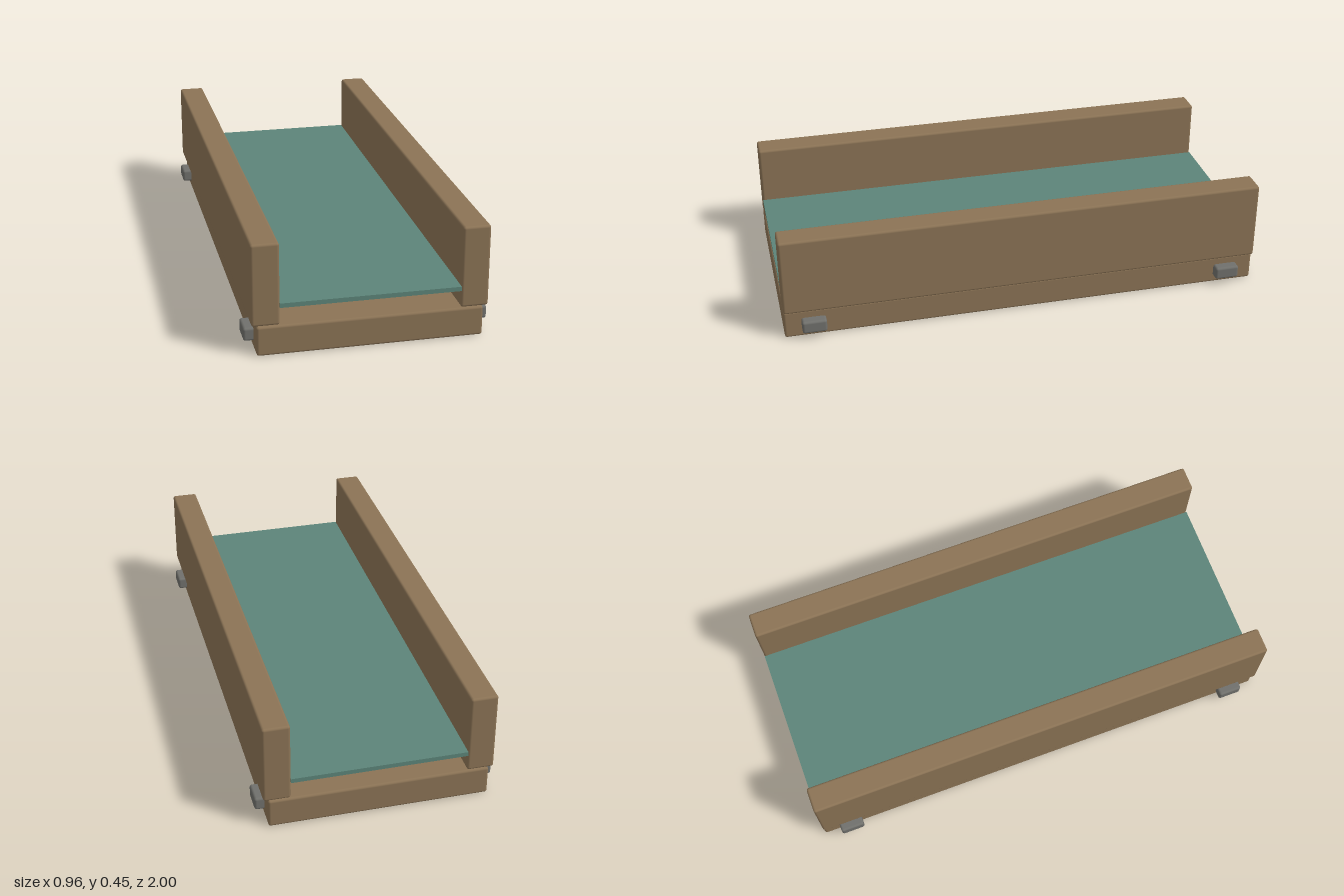
import * as THREE from 'three';
import { RoundedBoxGeometry } from 'three/addons/geometries/RoundedBoxGeometry.js';

export function createModel() {
  const model = new THREE.Group();
  model.name = 'trayBed';

  const wood = new THREE.MeshStandardMaterial({ color: 0x8b7355 });
  const green = new THREE.MeshStandardMaterial({ color: 0x5c8479 });
  const grey = new THREE.MeshStandardMaterial({ color: 0x70706c });

  // Adds a box given its size and centre; a radius rounds its edges
  function addBox(name, material, [w, h, d], [x, y, z], radius = 0) {
    const geometry = radius
      ? new RoundedBoxGeometry(w, h, d, 3, radius)
      : new THREE.BoxGeometry(w, h, d);
    const mesh = new THREE.Mesh(geometry, material);
    mesh.name = name;
    mesh.position.set(x, y, z);
    model.add(mesh);
  }

  // Base slab and the thin panel held between the rails
  addBox('base', wood, [0.878, 0.12, 2], [0, 0.06, 0], 0.01);
  addBox('panel', green, [0.7, 0.018, 2], [0, 0.201, 0]);

  for (const [side, s] of [['left', 1], ['right', -1]]) {
    // Tall side rail
    addBox(`${side}Rail`, wood, [0.108, 0.329, 2], [s * 0.404, 0.287, 0], 0.01);

    // Lugs sticking out of the base near each end
    for (const [end, e] of [['Front', 1], ['Back', -1]]) {
      addBox(`${side}${end}Lug`, grey, [0.08, 0.054, 0.1], [s * 0.438, 0.059, e * 0.88], 0.01);
    }
  }

  return model;
}
